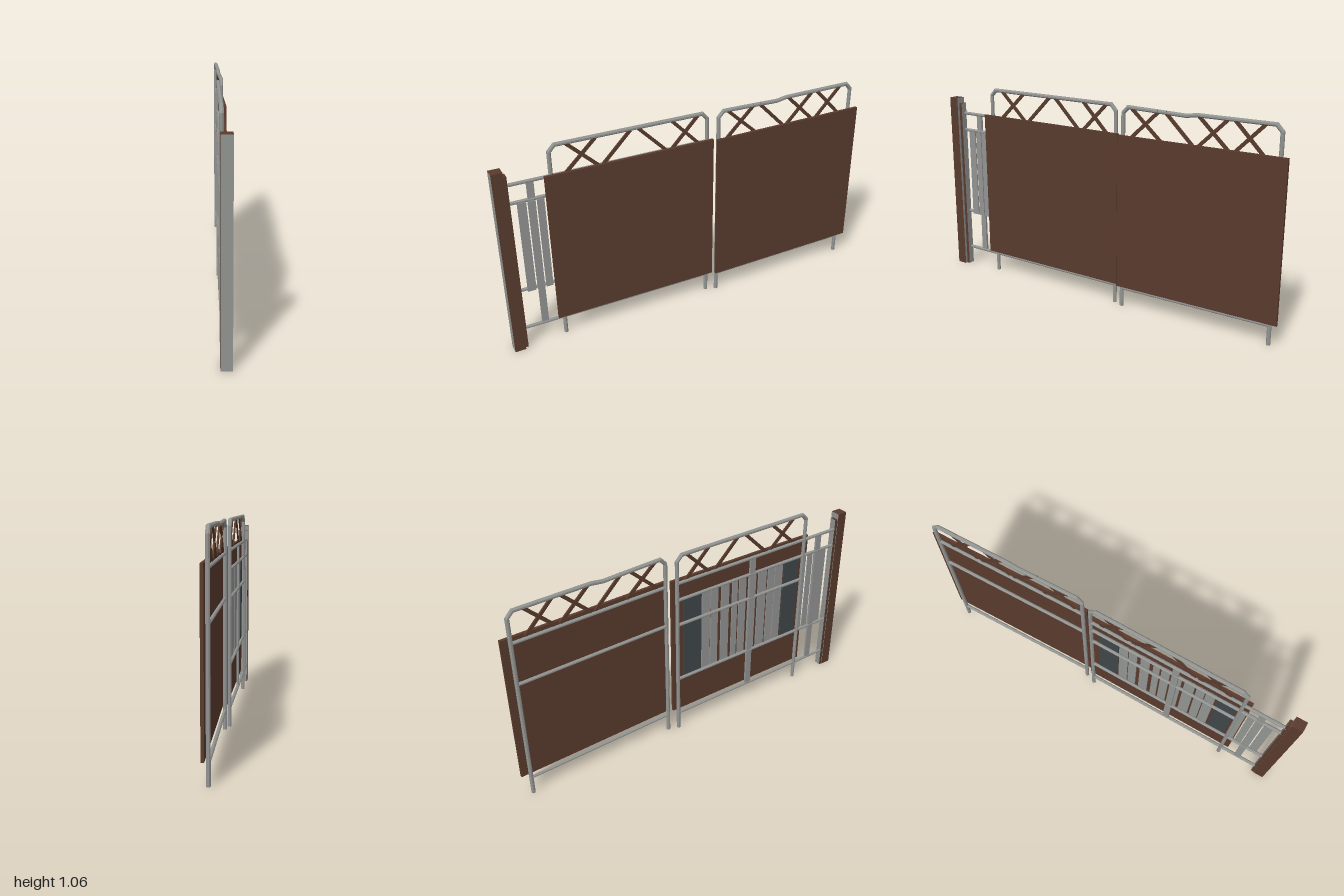
import * as THREE from 'three';

const mat = (name, color) => {
  const m = new THREE.MeshStandardMaterial({ color });
  m.name = name;
  return m;
};

export function createModel() {
  const steel = mat('galvanised steel', 0x929492);
  const brown = mat('brown panel', 0x593b2d);
  const slate = mat('dark slate', 0x3f4648);
  const model = new THREE.Group();
  model.name = 'gate';
  const TX = -0.019; // plane of the tubes

  // Box given by its limits on each axis
  function box(parent, name, material, [x0, x1], [y0, y1], [z0, z1]) {
    const mesh = new THREE.Mesh(
      new THREE.BoxGeometry(Math.abs(x1 - x0), Math.abs(y1 - y0), Math.abs(z1 - z0)), material);
    mesh.position.set((x0 + x1) / 2, (y0 + y1) / 2, (z0 + z1) / 2);
    mesh.name = name;
    parent.add(mesh);
    return mesh;
  }

  // Mitred eight-sided tube along a polyline of [z, y] points
  function tube(parent, name, points, r = 0.0095) {
    const sides = 8, pos = [], index = [];
    const pts = points.map(([z, y]) => new THREE.Vector2(z, y));
    const dir = (i) => pts[i + 1].clone().sub(pts[i]).normalize();
    pts.forEach((p, i) => {
      const a = dir(Math.max(i - 1, 0)), b = dir(Math.min(i, pts.length - 2));
      const t = a.clone().add(b).normalize();
      const stretch = 1 / t.dot(a);
      for (let s = 0; s < sides; s++) {
        const ang = ((s + 0.5) / sides) * Math.PI * 2;
        const k = (Math.sin(ang) * r * stretch) / Math.cos(Math.PI / sides);
        pos.push(TX + (Math.cos(ang) * r) / Math.cos(Math.PI / sides), p.y + t.x * k, p.x - t.y * k);
      }
    });
    for (let i = 0; i < pts.length - 1; i++) {
      for (let s = 0; s < sides; s++) {
        const a = i * sides + s, b = i * sides + ((s + 1) % sides);
        index.push(a, b, a + sides, b, b + sides, a + sides);
      }
    }
    const last = (pts.length - 1) * sides;
    for (let s = 1; s < sides - 1; s++) {
      index.push(0, s + 1, s, last, last + s, last + s + 1);
    }
    let geo = new THREE.BufferGeometry();
    geo.setAttribute('position', new THREE.Float32BufferAttribute(pos, 3));
    geo.setIndex(index);
    geo = geo.toNonIndexed();
    geo.computeVertexNormals();
    const mesh = new THREE.Mesh(geo, steel);
    mesh.name = name;
    parent.add(mesh);
  }

  // Flat diagonal strip from [zTop] to [zBottom] above the panel
  function brace(parent, zTop, zBottom) {
    const top = 1.047, bottom = 0.9;
    const dz = zTop - zBottom, dy = top - bottom;
    const mesh = new THREE.Mesh(new THREE.BoxGeometry(0.008, Math.hypot(dz, dy), 0.017), brown);
    mesh.position.set(-0.014, (top + bottom) / 2, (zTop + zBottom) / 2);
    mesh.rotation.x = Math.atan2(dz, dy);
    mesh.name = 'latticeBrace';
    parent.add(mesh);
  }

  // First leaf, next to the post
  const leafA = new THREE.Group();
  leafA.name = 'frontLeaf';
  model.add(leafA);
  tube(leafA, 'frame', [[0.72, 0], [0.72, 1.02], [0.692, 1.05], [-0.062, 1.05], [-0.09, 1.02], [-0.09, 0]]);
  box(leafA, 'panel', brown, [-0.007, 0.008], [0.115, 0.912], [-0.115, 0.757]);
  for (const [y, end] of [[0.1, 0.935], [0.325, 0.935], [0.66, 0.72], [0.805, 0.935], [0.9, 0.935]]) {
    tube(leafA, 'rail', [[-0.09, y], [end, y]], 0.008);
  }
  for (const z of [0.375, 0.821]) {
    box(leafA, 'flatUpright', steel, [-0.025, -0.014], [0.1, 0.9], [z - 0.017, z + 0.017]);
  }
  for (const [t, b] of [[0.64, 0.485], [0.495, 0.65], [0.32, 0.467], [0.281, 0.135], [0.104, -0.04], [-0.035, 0.108]]) {
    brace(leafA, t, b);
  }

  // Infill slats of uneven width, dark at both ends of the leaf
  const slats = [
    [-0.05, 0.06, slate], [0.065, 0.115, steel], [0.12, 0.165, steel], [0.185, 0.235, steel],
    [0.255, 0.29, steel], [0.3, 0.345, steel], [0.36, 0.41, steel], [0.425, 0.48, steel],
    [0.49, 0.535, steel], [0.54, 0.59, steel], [0.6, 0.7, slate], [0.725, 0.752, steel],
    [0.764, 0.799, steel], [0.808, 0.843, steel], [0.85, 0.893, steel],
  ];
  for (const [z0, z1, m] of slats) {
    box(leafA, 'slat', m, [-0.013, -0.0075], [0.313, 0.8], [z0, z1]);
  }

  // Second leaf, swung slightly open, with a dented top tube
  const leafB = new THREE.Group();
  leafB.name = 'rearLeaf';
  leafB.position.set(0.018, 0, -0.145);
  leafB.rotation.y = 0.0222;
  model.add(leafB);
  tube(leafB, 'frame', [
    [0, 0], [0, 1.02], [-0.028, 1.05], [-0.18, 1.046], [-0.34, 1.041], [-0.4, 1.05],
    [-0.782, 1.05], [-0.81, 1.02], [-0.81, 0],
  ]);
  box(leafB, 'panel', brown, [-0.007, 0.008], [0.115, 0.912], [-0.853, 0.017]);
  for (const y of [0.1, 0.667, 0.89]) tube(leafB, 'rail', [[0, y], [-0.81, y]], 0.008);
  for (const [t, b] of [[-0.05, -0.215], [-0.2, -0.045], [-0.235, -0.385], [-0.555, -0.405],
    [-0.41, -0.565], [-0.59, -0.735], [-0.735, -0.59]]) {
    brace(leafB, t, b);
  }

  // Post: brown sides and top, bare steel front and back
  const faces = [brown, brown, brown, steel, steel, steel];
  const post = new THREE.Group();
  post.name = 'post';
  model.add(post);
  box(post, 'postBody', faces, [-0.03, 0.022], [0, 0.987], [0.945, 1]);
  box(post, 'postStrip', faces, [-0.027, 0.008], [0, 0.957], [0.928, 0.945]);

  return model;
}
